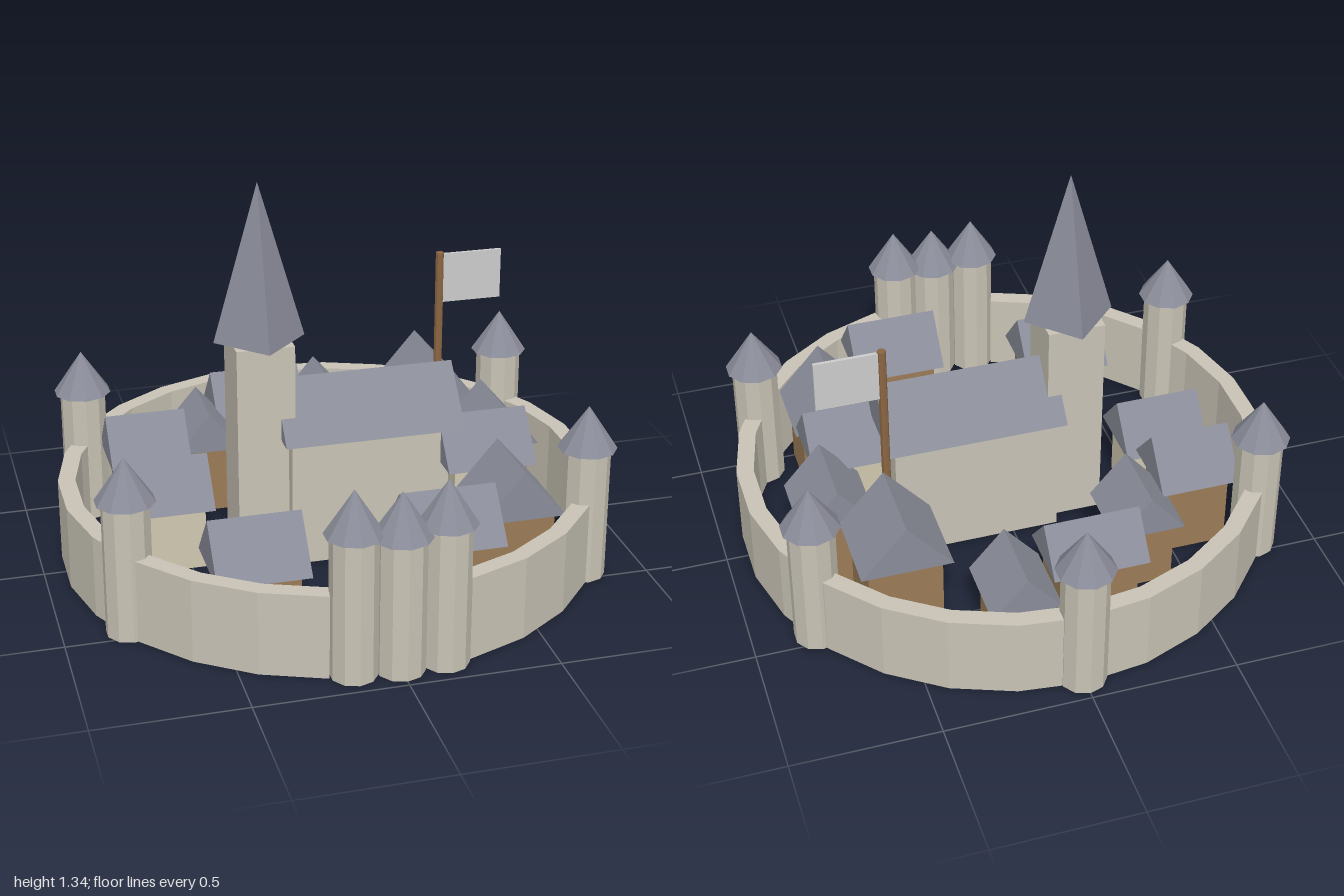
import * as THREE from 'three';

const mat = (color) => new THREE.MeshStandardMaterial({ color, flatShading: true });

export function createModel() {
  const model = new THREE.Group();
  const stone = mat(0xc8c3b5), slate = mat(0x8a8c99), timber = mat(0x9a7b57);
  const plaster = mat(0xcfc8b0), pole = mat(0x8a6642), cloth = mat(0xcccccc);

  const add = (parent, name, geometry, material, x, y, z) => {
    const mesh = new THREE.Mesh(geometry, material);
    mesh.name = name;
    mesh.position.set(x, y, z);
    parent.add(mesh);
    return mesh;
  };
  const group = (name) => {
    const g = new THREE.Group();
    g.name = name;
    model.add(g);
    return g;
  };

  // Ring wall: faceted arc, open at the gate (+z)
  const gap = 0.25, steps = 24, outer = 0.93, inner = 0.87;
  const ring = [];
  const arcPoint = (r, i) => {
    const a = gap + (i / steps) * (2 * Math.PI - 2 * gap);
    // shape y becomes -z once the extrusion is laid flat
    return new THREE.Vector2(r * Math.sin(a), -r * Math.cos(a));
  };
  for (let i = 0; i <= steps; i++) ring.push(arcPoint(outer, i));
  for (let i = steps; i >= 0; i--) ring.push(arcPoint(inner, i));
  const wallGeo = new THREE.ExtrudeGeometry(new THREE.Shape(ring), { depth: 0.29, bevelEnabled: false });
  wallGeo.rotateX(-Math.PI / 2);
  add(model, 'ringWall', wallGeo, stone, 0, 0, 0);

  // Round towers with cone roofs
  const tower = (name, x, z, r, h, roofR) => {
    const g = group(name);
    add(g, 'towerShaft', new THREE.CylinderGeometry(r, r, h, 10), stone, x, h / 2, z);
    add(g, 'towerRoof', new THREE.ConeGeometry(roofR, 0.15, 10), slate, x, h + 0.075, z);
  };
  for (let i = 0; i < 6; i++) {
    const a = (i * Math.PI) / 3;
    tower('wallTower', 0.9 * Math.sin(a), 0.9 * Math.cos(a), 0.08, 0.47, 0.1);
  }
  for (const s of [-1, 1]) tower('gateTower', s * 0.15, 0.89, 0.078, 0.49, 0.097);

  // Gabled building; x0..z1 is the roof outline, axis is the ridge direction
  const gabled = (name, [x0, x1, z0, z1], ridge, axis, rise, wallMat, inset = 0.03) => {
    const g = group(name);
    const w = x1 - x0, d = z1 - z0, cx = (x0 + x1) / 2, cz = (z0 + z1) / 2;
    const span = axis === 'x' ? d : w, length = axis === 'x' ? w : d;
    const eave = ridge - rise;
    add(g, 'walls', new THREE.BoxGeometry(w - 2 * inset, eave, d - 2 * inset), wallMat, cx, eave / 2, cz);
    const gable = new THREE.Shape([
      new THREE.Vector2(-span / 2, 0), new THREE.Vector2(span / 2, 0), new THREE.Vector2(0, rise),
    ]);
    const roofGeo = new THREE.ExtrudeGeometry(gable, { depth: length, bevelEnabled: false });
    roofGeo.translate(0, 0, -length / 2);
    if (axis === 'x') roofGeo.rotateY(Math.PI / 2);
    add(g, 'gableRoof', roofGeo, slate, cx, eave, cz);
  };

  // Church: nave, square tower and spire
  gabled('nave', [-0.185, 0.445, -0.172, 0.172], 0.64, 'x', 0.19, stone, 0.025);
  const church = group('churchTower');
  add(church, 'belfry', new THREE.BoxGeometry(0.2, 0.79, 0.2), stone, -0.236, 0.395, 0);
  add(church, 'spire', new THREE.ConeGeometry(0.157, 0.55, 4), slate, -0.236, 1.065, 0);

  // Houses inside the wall: outline, ridge height, ridge direction, walls
  const houses = [
    [[-0.285, 0.045, -0.735, -0.49], 0.42, 'x', timber],
    [[0.035, 0.275, -0.795, -0.53], 0.366, 'z', timber],
    [[0.345, 0.655, -0.605, -0.305], 0.512, 'z', timber],
    [[0.52, 0.78, -0.275, 0], 0.433, 'z', timber],
    [[0.365, 0.68, -0.03, 0.25], 0.488, 'x', plaster],
    [[0.38, 0.68, 0.26, 0.54], 0.447, 'z', timber],
    [[0.077, 0.4, 0.47, 0.75], 0.463, 'x', timber],
    [[-0.535, -0.225, 0.385, 0.68], 0.408, 'x', timber],
    [[-0.72, -0.42, -0.155, 0.115], 0.38, 'x', plaster],
    [[-0.725, -0.445, -0.43, -0.16], 0.43, 'x', timber],
    [[-0.475, -0.225, -0.565, -0.305], 0.39, 'z', timber],
  ];
  for (const [rect, ridge, axis, wallMat] of houses) {
    const span = axis === 'x' ? rect[3] - rect[2] : rect[1] - rect[0];
    gabled('house', rect, ridge, axis, 0.58 * span, wallMat);
  }

  // Flag on its pole
  const flag = group('flag');
  add(flag, 'flagPole', new THREE.CylinderGeometry(0.015, 0.015, 0.95, 8), pole, 0.473, 0.475, -0.237);
  add(flag, 'flagCloth', new THREE.BoxGeometry(0.215, 0.18, 0.012), cloth, 0.59, 0.855, -0.237);

  return model;
}
